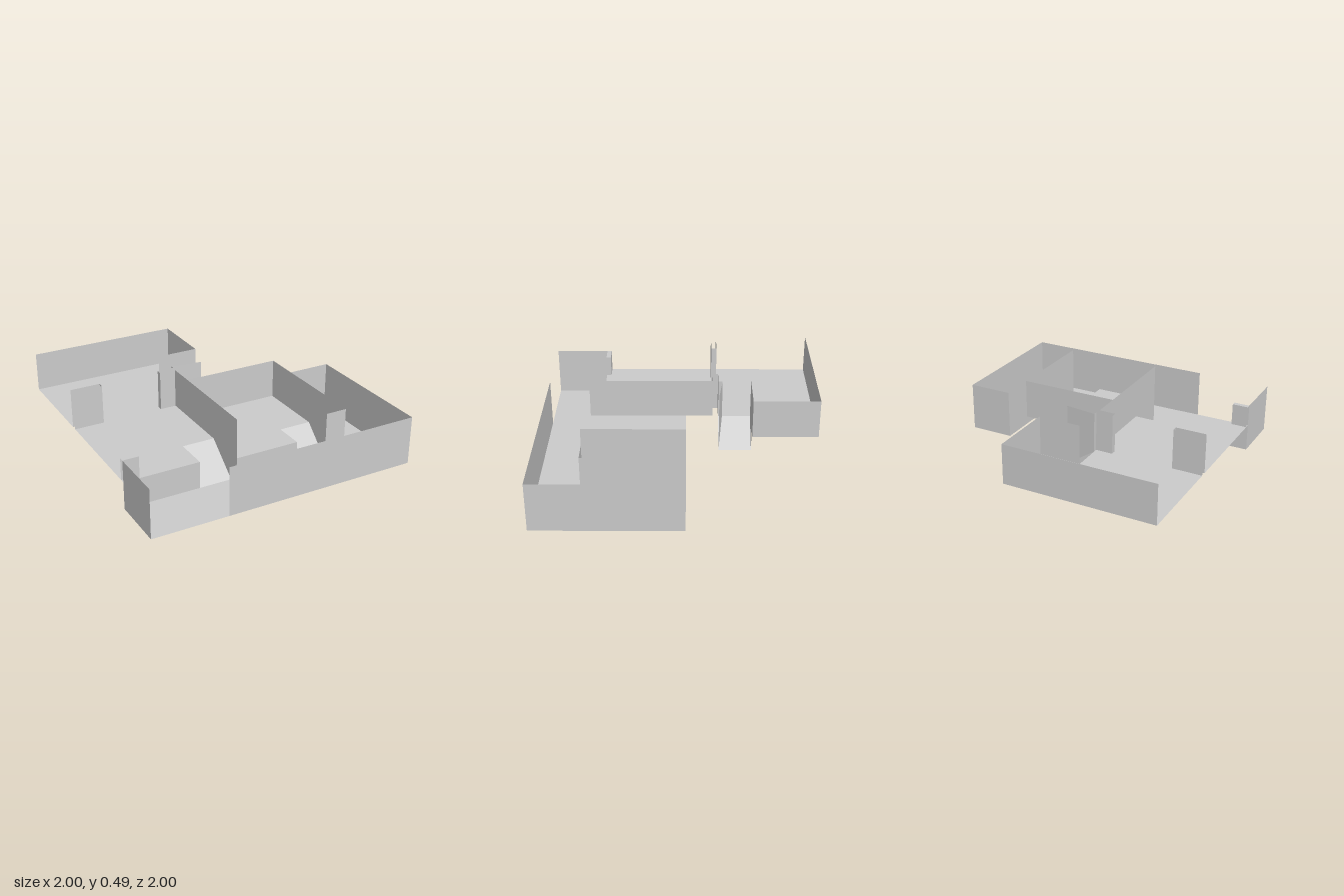
import * as THREE from 'three';

const LOW = 0, HIGH = 0.2, LOW_TOP = 0.36, HIGH_TOP = 0.49;
const material = new THREE.MeshStandardMaterial({
  color: 0xcccccc, side: THREE.DoubleSide, flatShading: true,
});

export function createModel() {
  const model = new THREE.Group();

  const add = (name, geometry) => {
    const mesh = new THREE.Mesh(geometry, material);
    mesh.name = name;
    model.add(mesh);
    return mesh;
  };

  // Flat floor from a plan outline of [x, z] corners
  const floor = (name, outline, y) => {
    const shape = new THREE.Shape(outline.map(([x, z]) => new THREE.Vector2(x, z)));
    const geometry = new THREE.ShapeGeometry(shape);
    geometry.rotateX(Math.PI / 2);
    geometry.translate(0, y, 0);
    add(name, geometry);
  };

  // Flat convex panel from three or four [x, y, z] corners
  const panel = (name, corners) => {
    const geometry = new THREE.BufferGeometry();
    geometry.setAttribute('position', new THREE.Float32BufferAttribute(corners.flat(), 3));
    geometry.setIndex(corners.length === 4 ? [0, 1, 2, 0, 2, 3] : [0, 1, 2]);
    geometry.computeVertexNormals();
    add(name, geometry);
  };

  // Thin upright walls along a path of [x, z] points
  const wall = (name, path, y0, y1) => {
    for (let i = 0; i < path.length - 1; i++) {
      const [ax, az] = path[i], [bx, bz] = path[i + 1];
      panel(name, [[ax, y0, az], [bx, y0, bz], [bx, y1, bz], [ax, y1, az]]);
    }
  };

  // Floors: the raised one has a doorway neck and two ramp notches
  floor('upperFloor', [
    [-1, -1], [0.11, -1], [0.11, -0.52], [-0.2, -0.52], [-0.2, -0.28],
    [-0.325, -0.28], [-0.325, -0.24], [-0.205, -0.24], [-0.205, -0.04],
    [0.515, -0.04], [0.515, 0.46], [0.275, 0.46], [0.275, 0.675],
    [-0.205, 0.675], [-0.205, 0.35], [-0.445, 0.35], [-0.445, 0.6],
    [-1, 0.6], [-1, -0.24], [-0.78, -0.24], [-0.78, -0.28], [-1, -0.28],
  ], HIGH);
  floor('lowerFloor', [
    [-1, 0.6], [-0.205, 0.6], [-0.205, 0.675], [0.675, 0.675],
    [0.675, -0.04], [1, -0.04], [1, 1], [-1, 1],
  ], LOW);

  // Risers between the two floor levels
  wall('floorRiser', [[-1, 0.6], [-0.445, 0.6]], LOW, HIGH);
  wall('floorRiser', [[-0.205, 0.6], [-0.205, 0.675], [0.275, 0.675]], LOW, HIGH);

  // Ramps down to the lower floor, with the notch sides
  for (const [x0, x1, z0, z1] of [[-0.445, -0.205, 0.35, 0.6], [0.275, 0.515, 0.46, 0.675]]) {
    panel('ramp', [[x0, HIGH, z0], [x0, LOW, z1], [x1, LOW, z1], [x1, HIGH, z0]]);
    for (const x of [x0, x1]) {
      panel('rampSide', [[x, HIGH, z0], [x, LOW, z1], [x, HIGH, z1]]);
    }
  }

  // Back exit ramp and its side walls
  panel('exitRamp', [[-0.2, HIGH, -0.52], [-0.2, HIGH, -0.28], [0.03, 0.04, -0.28], [0.03, 0.04, -0.52]]);
  panel('exitRampSide', [[-0.2, HIGH, -0.52], [0.03, 0.04, -0.52], [0.03, HIGH, -0.52]]);
  panel('exitWall', [
    [-0.2, HIGH, -0.31], [0.03, 0.04, -0.28], [0.03, HIGH_TOP, -0.28], [-0.2, HIGH_TOP, -0.31],
  ]);

  // Back room walls
  wall('backRoomWall', [[-1, -1], [0.11, -1], [0.11, -0.52], [-0.2, -0.52]], HIGH, HIGH_TOP);

  // Door jambs between the back room and the hall
  wall('leftOpenJamb', [[-1, -0.28], [-0.78, -0.28], [-0.78, -0.24], [-1, -0.24]], HIGH, HIGH_TOP);
  wall('doorJamb', [[-0.2, -0.31], [-0.2, -0.28], [-0.325, -0.28], [-0.325, -0.24], [-0.205, -0.24]], HIGH, HIGH_TOP);

  // Middle room walls
  wall('middleRoomWall', [
    [-0.205, -0.24], [-0.205, 0.675],
  ], HIGH, HIGH_TOP);
  wall('middleRoomWall', [[-0.205, -0.04], [0.515, -0.04], [0.515, 0.675]], HIGH, HIGH_TOP);

  // Lower corridor walls
  wall('corridorWall', [
    [0.515, 0.675], [0.675, 0.675], [0.675, -0.04], [1, -0.04], [1, 1], [-0.445, 1],
  ], LOW, LOW_TOP);
  wall('entranceSideWall', [[-1, 0.6], [-1, 1]], LOW, LOW_TOP);

  // Entrance post at the edge of the raised floor, with its cap
  wall('entrancePost', [[-1, 0.565], [-0.885, 0.565], [-0.885, 0.6], [-1, 0.6]], HIGH, LOW_TOP);
  floor('entrancePostCap', [[-1, 0.565], [-0.885, 0.565], [-0.885, 0.6], [-1, 0.6]], LOW_TOP);

  return model;
}
